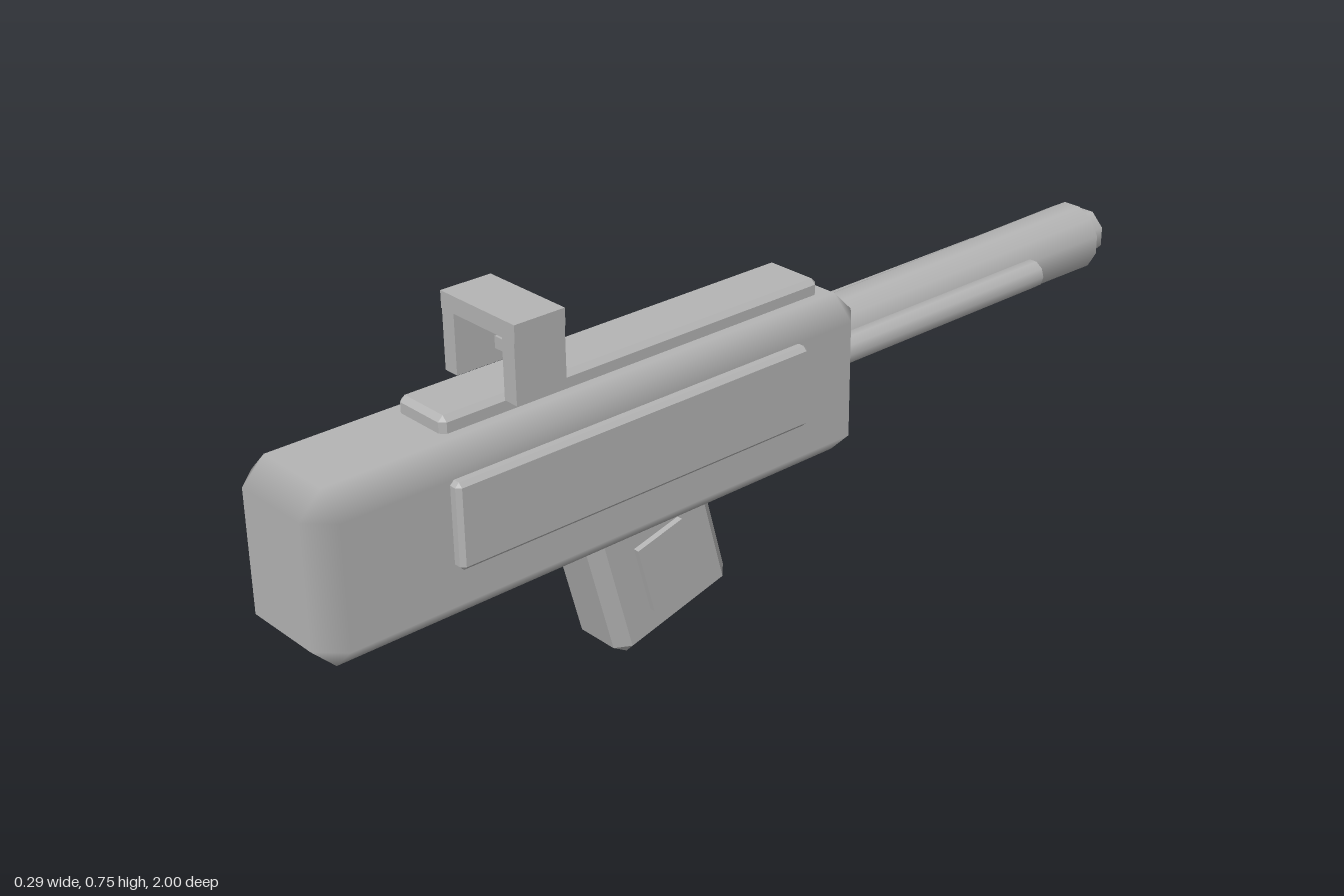
import * as THREE from 'three';
import { ConvexGeometry } from 'three/addons/geometries/ConvexGeometry.js';

const grey = new THREE.MeshStandardMaterial({ color: 0xb4b4b4 });
grey.name = 'plainGrey';

// Box with a single chamfer on every edge; smooth blends the chamfers into the faces
function chamferBox(w, h, d, c, smooth = false) {
  const points = [];
  const half = [w / 2, h / 2, d / 2];
  for (let axis = 0; axis < 3; axis++)
    for (const sx of [-1, 1]) for (const sy of [-1, 1]) for (const sz of [-1, 1]) {
      const p = [sx, sy, sz].map((s, i) => s * (half[i] - (i === axis ? 0 : c)));
      points.push(new THREE.Vector3(...p));
    }
  const geo = new ConvexGeometry(points);
  if (smooth) {
    const pos = geo.attributes.position, normal = geo.attributes.normal;
    for (let i = 0; i < pos.count; i++) {
      const p = [pos.getX(i), pos.getY(i), pos.getZ(i)];
      // each corner point lies on exactly one main face and takes its normal
      const n = p.map((v, k) => (Math.abs(Math.abs(v) - half[k]) < 1e-5 ? Math.sign(v) : 0));
      normal.setXYZ(i, ...n);
    }
  }
  return geo;
}

// Cylinder lying along z; rBack is the radius at the -z end
function rod(rFront, rBack, length, sides) {
  return new THREE.CylinderGeometry(rFront, rBack, length, sides)
    .rotateY(Math.PI / sides)
    .rotateX(Math.PI / 2);
}

export function createModel() {
  const model = new THREE.Group();
  model.name = 'model';
  const add = (name, geo, x, y, z, parent = model) => {
    const mesh = new THREE.Mesh(geo, grey);
    mesh.name = name;
    mesh.position.set(x, y, z);
    parent.add(mesh);
    return mesh;
  };

  // Main body and top rail
  add('body', chamferBox(0.25, 0.322, 1.212, 0.045, true), 0, 0.421, 0.394);
  add('topRail', chamferBox(0.124, 0.06, 0.855, 0.01), 0, 0.582, 0.283);

  // Barrel and muzzle
  add('barrel', rod(0.066, 0.073, 0.78, 12), 0, 0.458, -0.565);
  add('muzzle', rod(0.0515, 0.0515, 0.1, 8), 0, 0.458, -0.95);

  // Mirrored side panels, side tubes and sight posts
  for (const side of [-1, 1]) {
    const label = side > 0 ? 'left' : 'right';
    add(label + 'Panel', chamferBox(0.05, 0.16, 0.785, 0.008), side * 0.121, 0.456, 0.353);
    add(label + 'Tube', rod(0.029, 0.029, 0.6, 10), side * 0.079, 0.458, -0.44);
    add(label + 'SightPost', new THREE.BoxGeometry(0.032, 0.13, 0.105), side * 0.081, 0.67, 0.532);
  }

  // Sight bridge and aiming bead
  add('sightBridge', new THREE.BoxGeometry(0.198, 0.032, 0.105), 0, 0.734, 0.532);
  add('sightBead', new THREE.BoxGeometry(0.022, 0.022, 0.022), 0, 0.672, 0.532);

  // Tilted grip with a plate standing out on both sides
  const grip = new THREE.Group();
  grip.name = 'grip';
  grip.position.set(0, 0.17, 0.247);
  grip.rotation.x = 0.255;
  model.add(grip);
  add('gripBlock', chamferBox(0.14, 0.286, 0.28, 0.025), 0, 0, 0, grip);
  add('gripPlate', new THREE.BoxGeometry(0.164, 0.143, 0.108), 0, 0, 0.003, grip);

  return model;
}
